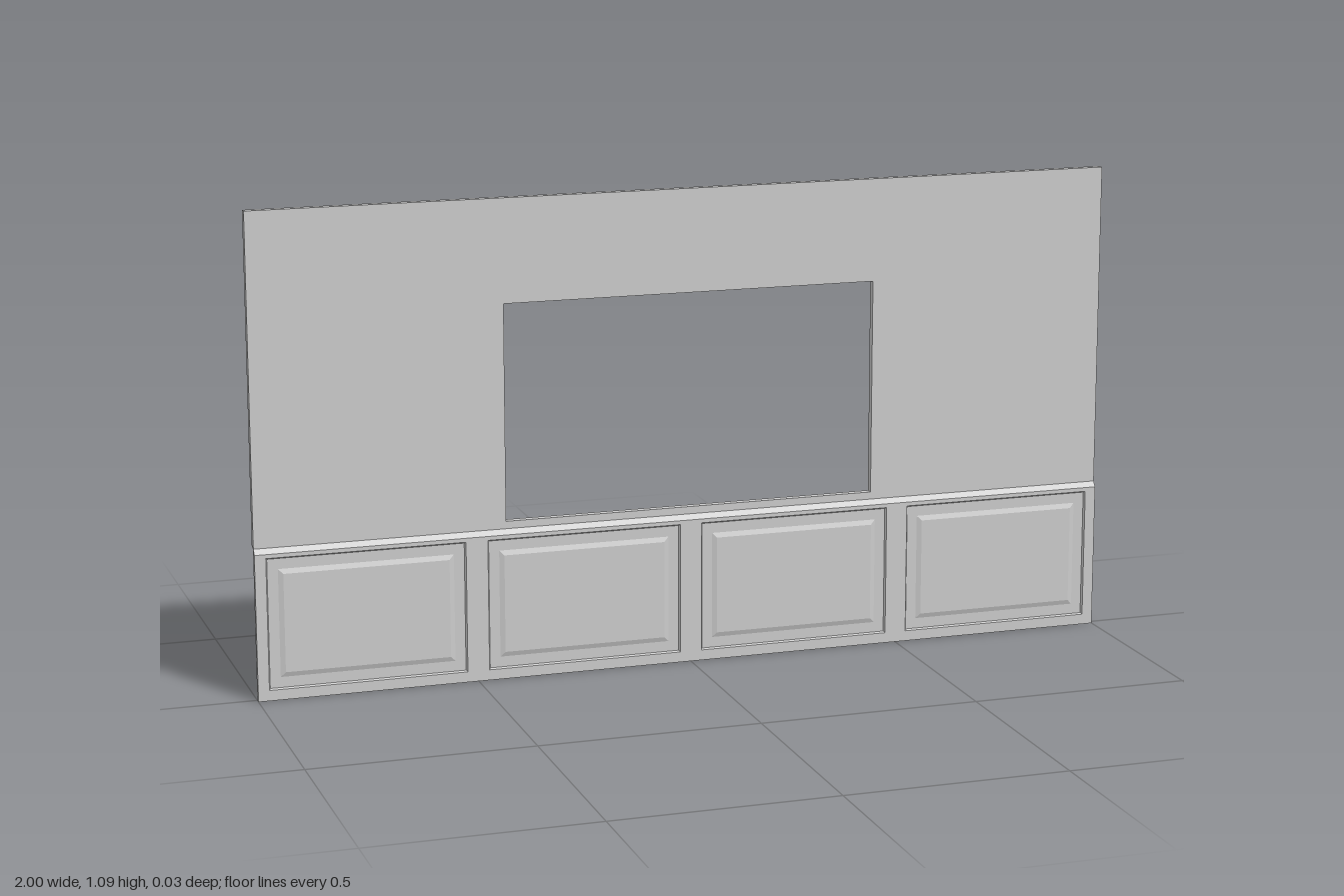
import * as THREE from 'three';

const WALL_FRONT = 0.004, BACK = -0.013, FRONT = 0.013;
const RAIL = 0.345, TOP = 1.09;
const WIN = { l: -0.43, r: 0.438, b: 0.362, t: 0.855 };

// Flat polygons (counter-clockwise from outside) merged into one mesh
function faceMesh(name, polys, material) {
  const pos = [];
  for (const p of polys)
    for (let i = 1; i < p.length - 1; i++) pos.push(...p[0], ...p[i], ...p[i + 1]);
  const geo = new THREE.BufferGeometry();
  geo.setAttribute('position', new THREE.Float32BufferAttribute(pos, 3));
  geo.computeVertexNormals();
  const mesh = new THREE.Mesh(geo, material);
  mesh.name = name;
  return mesh;
}

// Corners of an upright rectangle at depth z
const rect = (cx, cy, hw, hh, z) => [
  [cx - hw, cy - hh, z], [cx + hw, cy - hh, z], [cx + hw, cy + hh, z], [cx - hw, cy + hh, z],
];

// Four faces joining an outer rectangle to an inner one
const ring = (a, b) => a.map((p, i) => [p, a[(i + 1) % 4], b[(i + 1) % 4], b[i]]);

export function createModel() {
  const group = new THREE.Group();
  const material = new THREE.MeshStandardMaterial({ color: 0xcccccc, side: THREE.DoubleSide });

  // Upper wall around the window opening
  const outline = new THREE.Shape([
    [-1, RAIL], [WIN.l, WIN.b], [WIN.l, WIN.t], [WIN.r, WIN.t],
    [WIN.r, WIN.b], [1, RAIL], [1, TOP], [-1, TOP],
  ].map(([x, y]) => new THREE.Vector2(x, y)));
  const wallGeo = new THREE.ExtrudeGeometry(outline, { depth: WALL_FRONT - BACK, bevelEnabled: false });
  wallGeo.translate(0, 0, BACK);
  const wall = new THREE.Mesh(wallGeo, material);
  wall.name = 'upperWall';
  group.add(wall);

  // Wainscot frame with four panel openings
  const railY = 0.333, cy = 0.174, hw = 0.225, hh = 0.15;
  const centres = [-0.75, -0.25, 0.25, 0.75];
  const frame = new THREE.Shape([[-1, 0], [1, 0], [1, railY], [-1, railY]]
    .map(([x, y]) => new THREE.Vector2(x, y)));
  for (const cx of centres)
    frame.holes.push(new THREE.Path(rect(cx, cy, hw, hh, 0).map(([x, y]) => new THREE.Vector2(x, y))));
  const frameMesh = new THREE.Mesh(new THREE.ShapeGeometry(frame), material);
  frameMesh.position.z = FRONT;
  frameMesh.name = 'wainscotFrame';
  group.add(frameMesh);

  // Recessed panels, each with a bevelled raised field
  for (const cx of centres) {
    const steps = [
      rect(cx, cy, hw, hh, FRONT),
      rect(cx, cy, hw - 0.003, hh - 0.003, 0.008),
      rect(cx, cy, 0.198, 0.123, 0.008),
      rect(cx, cy, 0.187, 0.112, 0.012),
    ];
    const polys = [steps[3]];
    for (let i = 0; i < 3; i++) polys.push(...ring(steps[i], steps[i + 1]));
    group.add(faceMesh('wainscotPanel', polys, material));
  }

  // Sloped cap rail, strip under the window and the sill
  const cap = [
    [[-1, railY, FRONT], [1, railY, FRONT], [1, RAIL, WALL_FRONT], [-1, RAIL, WALL_FRONT]],
    [[-1, RAIL, WALL_FRONT], [1, RAIL, WALL_FRONT], [WIN.r, WIN.b, WALL_FRONT], [WIN.l, WIN.b, WALL_FRONT]],
    [[WIN.l, WIN.b, WALL_FRONT], [WIN.r, WIN.b, WALL_FRONT], [WIN.r, WIN.b, BACK], [WIN.l, WIN.b, BACK]],
  ];
  group.add(faceMesh('capRailAndSill', cap, material));

  // Back leans from the floor to the sill, with triangles at both ends
  const sillL = [WIN.l, WIN.b, BACK], sillR = [WIN.r, WIN.b, BACK];
  const back = [
    [[1, 0, 0], [-1, 0, 0], sillL, sillR],
    [[-1, 0, 0], [-1, RAIL, 0], sillL],
    [[1, RAIL, 0], [1, 0, 0], sillR],
  ];
  group.add(faceMesh('wainscotBack', back, material));

  // Base and end caps
  const end = (x) => [[x, 0, FRONT], [x, 0, 0], [x, RAIL, 0], [x, RAIL, WALL_FRONT], [x, railY, FRONT]];
  const ends = [
    end(1), end(-1).reverse(),
    [[-1, 0, 0], [1, 0, 0], [1, 0, FRONT], [-1, 0, FRONT]],
  ];
  group.add(faceMesh('wainscotBaseAndEnds', ends, material));

  return group;
}
